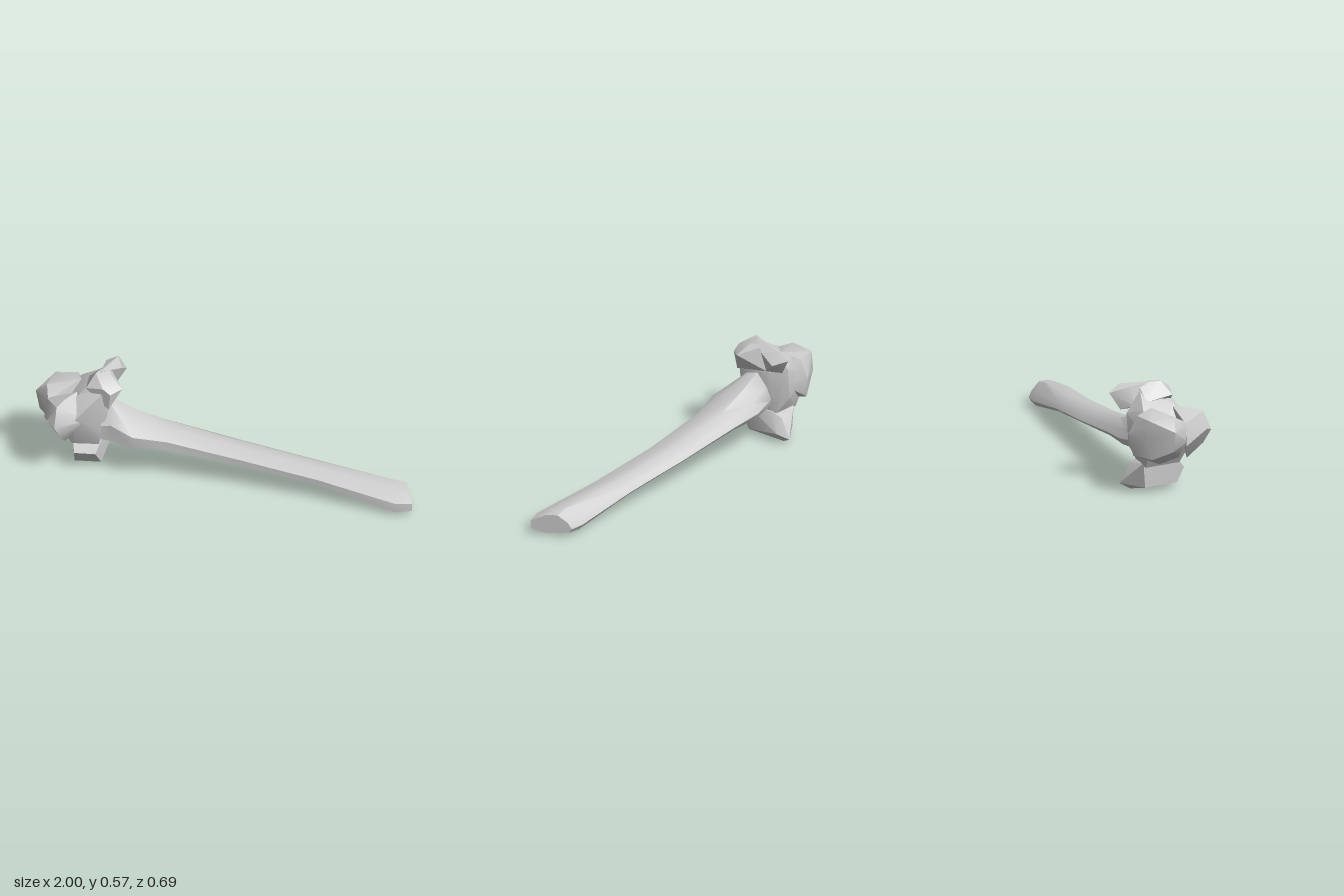
import * as THREE from 'three';
import { ConvexGeometry } from 'three/addons/geometries/ConvexGeometry.js';
import { toCreasedNormals } from 'three/addons/utils/BufferGeometryUtils.js';

const material = new THREE.MeshStandardMaterial({ color: 0xcccccc, side: THREE.DoubleSide });

function addPart(group, name, geometry, crease = 0.6) {
  const mesh = new THREE.Mesh(toCreasedNormals(geometry, crease), material);
  mesh.name = name;
  group.add(mesh);
}

// faceted lump spanned by its corner points
const lump = (points) => new ConvexGeometry(points.map((p) => new THREE.Vector3(...p)));

// shaft cross-section: across (back to front) and up, each 0..1
const SECTION = [[0, 0.35], [0.07, 0.15], [0.63, 0], [1, 0.2], [1, 0.6], [0.63, 0.95], [0.35, 1], [0.1, 0.65]];

// stations: x, back z, front z, bottom y, top y, forward lean of the section along x
function loft(stations) {
  const n = SECTION.length;
  const positions = [];
  const index = [];
  for (const [x, z0, z1, y0, y1, lean] of stations) {
    for (const [u, v] of SECTION) {
      positions.push(x + lean * u, y0 + (y1 - y0) * v, z0 + (z1 - z0) * u);
    }
  }
  for (let s = 0; s < stations.length - 1; s++) {
    for (let i = 0; i < n; i++) {
      const a = s * n + i;
      const b = s * n + ((i + 1) % n);
      index.push(a, a + n, b, b, a + n, b + n);
    }
  }
  // end caps
  const last = (stations.length - 1) * n;
  for (let i = 1; i < n - 1; i++) {
    index.push(0, i, i + 1, last, last + i + 1, last + i);
  }
  // flip to face outward
  for (let i = 0; i < index.length; i += 3) {
    [index[i + 1], index[i + 2]] = [index[i + 2], index[i + 1]];
  }
  const geometry = new THREE.BufferGeometry();
  geometry.setAttribute('position', new THREE.Float32BufferAttribute(positions, 3));
  geometry.setIndex(index);
  geometry.computeVertexNormals();
  return geometry;
}

export function createModel() {
  const group = new THREE.Group();
  group.name = 'longBone';

  // long flattened shaft, flaring into the head
  addPart(group, 'shaft', loft([
    [-0.65, -0.2, -0.01, 0.17, 0.37, 0],
    [-0.6, -0.21, 0.0, 0.16, 0.395, 0],
    [-0.48, -0.215, 0.06, 0.165, 0.335, 0],
    [-0.3, -0.18, 0.05, 0.175, 0.28, 0],
    [0.1, -0.09, 0.12, 0.135, 0.21, 0],
    [0.5, 0.01, 0.215, 0.085, 0.165, 0],
    [0.87, 0.1, 0.345, 0.003, 0.135, 0.04],
    [0.945, 0.12, 0.335, 0.012, 0.122, 0.055],
  ]), 0.7);

  // central mass of the head
  addPart(group, 'headCore', lump([
    [-0.76, 0.46, -0.06], [-0.76, 0.455, -0.25], [-0.64, 0.49, -0.02], [-0.65, 0.53, -0.2],
    [-0.61, 0.39, -0.03], [-0.61, 0.4, -0.2], [-0.66, 0.42, -0.29], [-0.68, 0.25, -0.29],
    [-0.65, 0.25, -0.02], [-0.66, 0.16, -0.04], [-0.65, 0.15, -0.22], [-0.8, 0.15, -0.05],
    [-0.8, 0.15, -0.26], [-0.89, 0.3, -0.02], [-0.89, 0.3, -0.28], [-0.78, 0.35, 0.03],
  ]));

  // upper knob reaching backward
  addPart(group, 'upperKnob', lump([
    [-0.68, 0.57, -0.09], [-0.6, 0.555, -0.1], [-0.64, 0.52, -0.01], [-0.6, 0.49, 0],
    [-0.61, 0.39, -0.015], [-0.54, 0.5, -0.05], [-0.73, 0.5, -0.05], [-0.72, 0.48, -0.2],
    [-0.59, 0.42, -0.2], [-0.62, 0.56, -0.2],
  ]));
  addPart(group, 'upperKnobTip', lump([
    [-0.66, 0.57, -0.1], [-0.57, 0.558, -0.28], [-0.57, 0.515, -0.34], [-0.525, 0.49, -0.27],
    [-0.6, 0.425, -0.29], [-0.59, 0.42, -0.2], [-0.66, 0.45, -0.24], [-0.55, 0.54, -0.19],
    [-0.63, 0.55, -0.25],
  ]));

  // lower knob
  addPart(group, 'lowerKnob', lump([
    [-0.79, 0.115, -0.015], [-0.68, 0.11, -0.015], [-0.79, 0.04, -0.06], [-0.65, 0.035, -0.06],
    [-0.7, 0.015, -0.15], [-0.66, 0.005, -0.265], [-0.61, 0.06, -0.25], [-0.63, 0.035, -0.315],
    [-0.78, 0.035, -0.25], [-0.65, 0.14, -0.26], [-0.78, 0.17, -0.26], [-0.64, 0.17, -0.2],
    [-0.8, 0.17, -0.06], [-0.65, 0.17, -0.05],
  ]));

  // outer rear lobe
  addPart(group, 'rearLobe', lump([
    [-1, 0.38, -0.2], [-0.98, 0.27, -0.2], [-0.94, 0.44, -0.17], [-0.9, 0.435, -0.3],
    [-0.78, 0.435, -0.3], [-0.77, 0.34, -0.347], [-0.89, 0.34, -0.315], [-0.79, 0.225, -0.33],
    [-0.84, 0.17, -0.2], [-0.9, 0.22, -0.28], [-0.94, 0.3, -0.09], [-0.93, 0.4, -0.08],
    [-0.76, 0.46, -0.2], [-0.7, 0.3, -0.26], [-0.84, 0.19, -0.08],
  ]));

  // outer front lobe
  addPart(group, 'frontLobe', lump([
    [-0.89, 0.33, 0.09], [-0.93, 0.35, 0.04], [-0.88, 0.435, 0.045], [-0.86, 0.255, 0.06],
    [-0.94, 0.4, -0.1], [-0.95, 0.28, -0.1], [-0.84, 0.45, -0.01], [-0.78, 0.455, -0.08],
    [-0.72, 0.33, 0.0], [-0.82, 0.32, 0.03], [-0.84, 0.18, -0.03],
  ]));

  return group;
}
